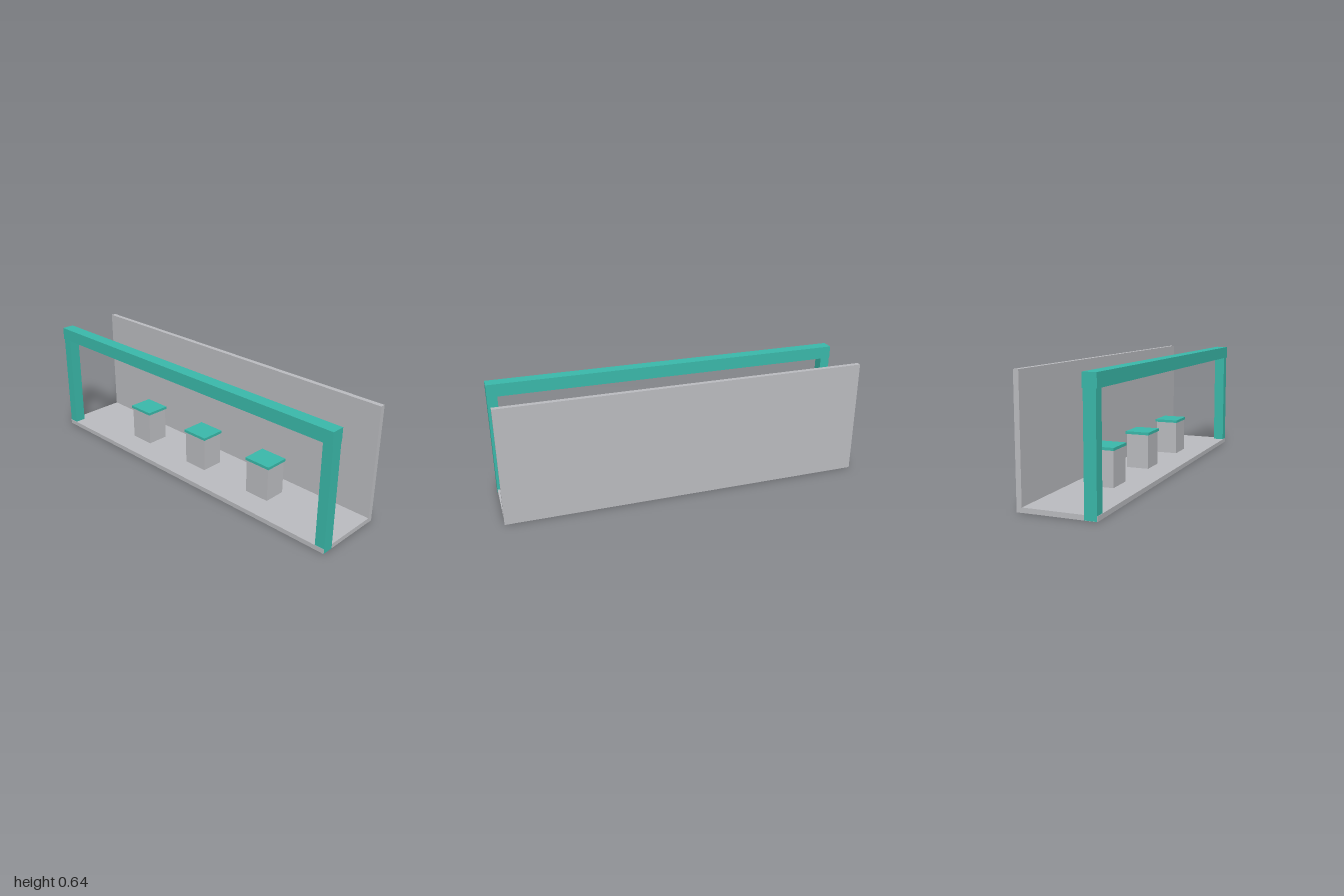
import * as THREE from 'three';

const teal = new THREE.MeshStandardMaterial({ name: 'teal', color: 0x3ab9aa });
const grey = new THREE.MeshStandardMaterial({ name: 'lightGrey', color: 0xbbbcc0 });

// Box spanning the given [min, max] ranges
function block(name, material, [x0, x1], [y0, y1], [z0, z1]) {
  const mesh = new THREE.Mesh(new THREE.BoxGeometry(x1 - x0, y1 - y0, z1 - z0), material);
  mesh.position.set((x0 + x1) / 2, (y0 + y1) / 2, (z0 + z1) / 2);
  mesh.name = name;
  return mesh;
}

export function createModel() {
  const model = new THREE.Group();
  model.name = 'displayBooth';

  // Floor slab and back wall
  model.add(block('floor', grey, [-0.999, 0.999], [0, 0.025], [-0.173, 0.2]));
  model.add(block('backWall', grey, [-1, 1], [0, 0.642], [-0.2, -0.173]));

  // Front frame: two posts set into the floor, and a slightly deeper beam
  model.add(block('leftPost', teal, [0.945, 1], [0.001, 0.573], [0.137, 0.198]));
  model.add(block('rightPost', teal, [-1, -0.945], [0.001, 0.573], [0.137, 0.198]));
  model.add(block('beam', teal, [-1, 1], [0.573, 0.642], [0.133, 0.203]));

  // Row of three pedestals with overhanging tops
  for (const x of [-0.46, 0, 0.46]) {
    const pedestal = new THREE.Group();
    pedestal.name = 'pedestal';
    pedestal.position.x = x;
    pedestal.add(block('pedestalBody', grey, [-0.073, 0.073], [0.025, 0.213], [-0.063, 0.063]));
    pedestal.add(block('pedestalTop', teal, [-0.079, 0.079], [0.213, 0.228], [-0.068, 0.068]));
    model.add(pedestal);
  }
  return model;
}
